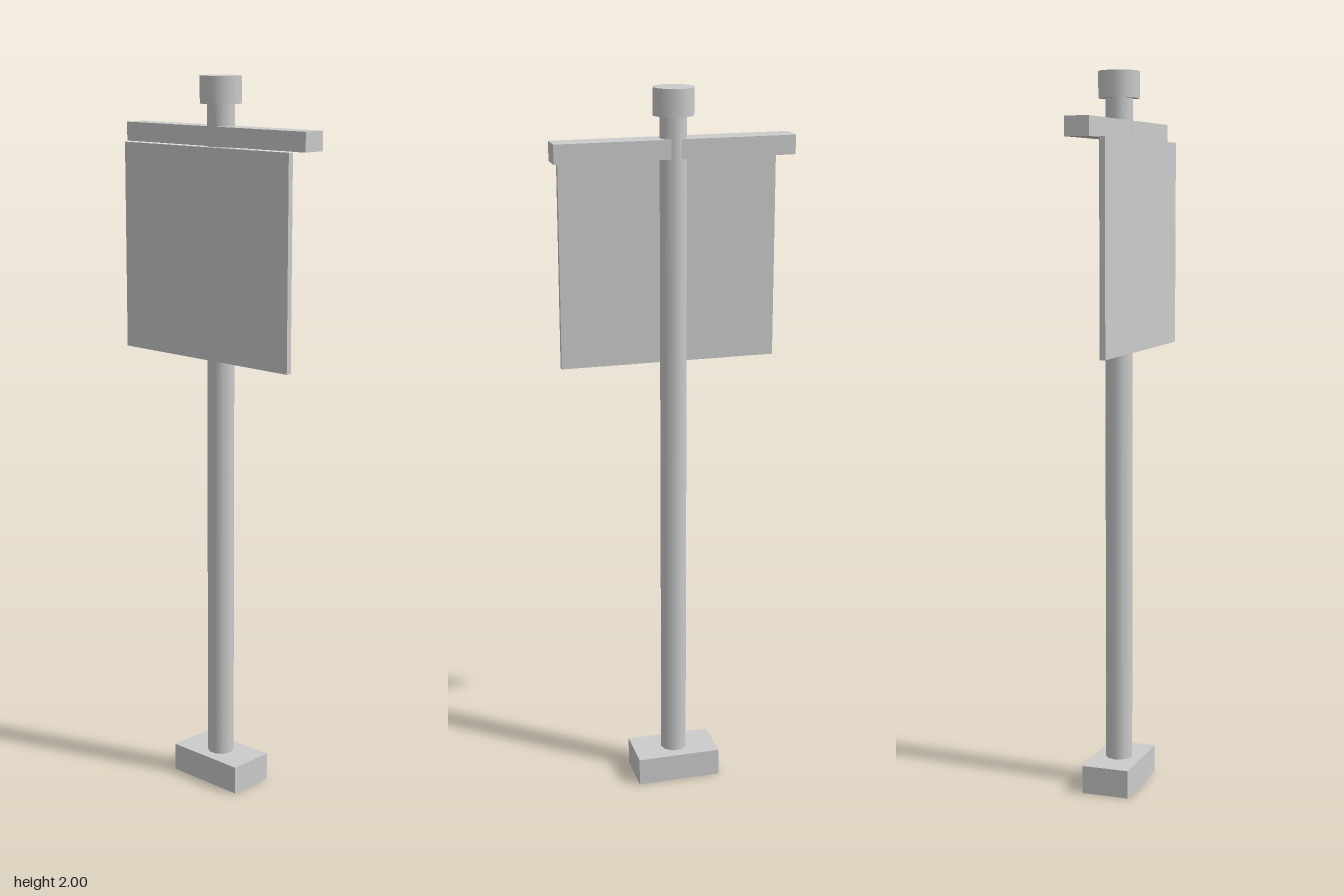
import * as THREE from 'three';

export function createModel() {
  const model = new THREE.Group();
  const material = new THREE.MeshStandardMaterial({ color: 0xcccccc });

  const add = (name, geometry, y0, y1, z = 0) => {
    const mesh = new THREE.Mesh(geometry, material);
    mesh.name = name;
    mesh.position.set(0, (y0 + y1) / 2, z);
    model.add(mesh);
  };
  const box = (name, width, depth, y0, y1, z) =>
    add(name, new THREE.BoxGeometry(width, y1 - y0, depth), y0, y1, z);
  // Ten-sided post sections with a corner on each x side
  const post = (name, radius, y0, y1) =>
    add(name, new THREE.CylinderGeometry(radius, radius, y1 - y0, 10).rotateY(Math.PI / 2), y0, y1);

  // Foot block and upright
  box('base', 0.24, 0.135, 0, 0.079);
  post('pole', 0.0375, 0.079, 1.927);
  post('poleCap', 0.0565, 1.927, 2);

  // Crossbar through the pole, with the sign panel hanging in front
  box('crossbar', 0.655, 0.067, 1.816, 1.868);
  box('signPanel', 0.602, 0.016, 1.244, 1.816, 0.0595);

  return model;
}
